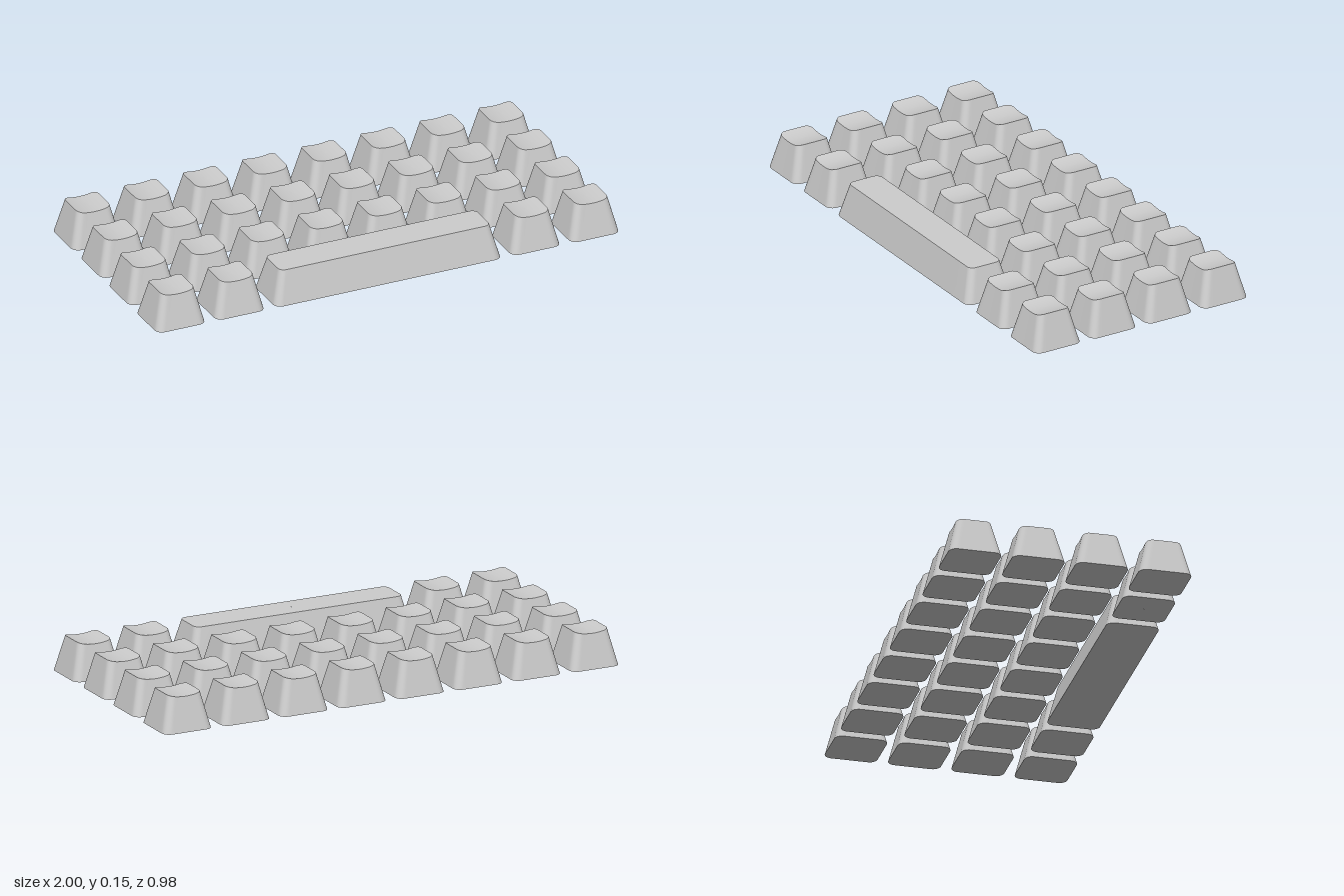
import * as THREE from 'three';
import { mergeGeometries } from 'three/addons/utils/BufferGeometryUtils.js';

const PITCH = 0.2554, BASE = 0.212, INSET = 0.069;
const ARC = 6, EDGE = 10; // steps per rounded corner and per straight edge

// Rounded rectangle as [x, z] points
function outline(w, d, r) {
  const corners = [[1, 1], [-1, 1], [-1, -1], [1, -1]];
  const arcs = corners.map(([sx, sz], k) => Array.from({ length: ARC + 1 }, (_, i) => {
    const a = (k + i / ARC) * Math.PI / 2;
    return [sx * (w / 2 - r) + r * Math.cos(a), sz * (d / 2 - r) + r * Math.sin(a)];
  }));
  const pts = [];
  arcs.forEach((arc, k) => {
    pts.push(...arc);
    const a = arc[ARC], b = arcs[(k + 1) % 4][0];
    for (let i = 1; i < EDGE; i++) {
      const t = i / EDGE;
      pts.push([a[0] + (b[0] - a[0]) * t, a[1] + (b[1] - a[1]) * t]);
    }
  });
  return pts;
}

// Smooth skin through a list of closed rings of [x, y, z] points
function skin(rings) {
  const n = rings[0].length, index = [];
  for (let j = 0; j < rings.length - 1; j++) {
    for (let i = 0; i < n; i++) {
      const a = j * n + i, b = j * n + (i + 1) % n;
      index.push(a, a + n, b, b, a + n, b + n);
    }
  }
  const geo = new THREE.BufferGeometry();
  geo.setAttribute('position', new THREE.Float32BufferAttribute(rings.flat(2), 3));
  geo.setIndex(index);
  geo.computeVertexNormals();
  return geo;
}

// Tapered cap; topY(x) gives the height of the top surface
function keycap(width, topY) {
  const low = outline(width, BASE, 0.032);
  const high = outline(width - INSET, BASE - INSET, 0.026);
  const ring = (pts, s, y) => pts.map(([x, z]) => [x * s, y(x * s), z * s]);
  const floor = () => 0;
  const walls = skin([ring(low, 1, floor), ring(high, 1, topY)]);
  const top = skin([1, 0.8, 0.6, 0.4, 0.2, 0.001].map(s => ring(high, s, topY)));
  const bottom = skin([ring(low, 0.001, floor), ring(low, 1, floor)]);
  return mergeGeometries([walls, top, bottom]);
}

export function createModel() {
  const model = new THREE.Group();
  model.name = 'keycapSet';
  const material = new THREE.MeshStandardMaterial({ color: 0xcccccc });

  // Single caps have a shallow dish across x, the space bar is level
  const single = keycap(BASE, x => 0.137 + 0.01 * (x / 0.0715) ** 2);
  const long = keycap(3 * PITCH + BASE, () => 0.139);

  const add = (geo, name, x, z) => {
    const mesh = new THREE.Mesh(geo, material);
    mesh.name = name;
    mesh.position.set(x, 0, z);
    model.add(mesh);
  };

  for (let row = 0; row < 4; row++) {
    for (let col = 0; col < 8; col++) {
      if (row === 3 && col > 1 && col < 6) continue; // space bar sits here
      add(single, `keycapRow${row + 1}Column${col + 1}`, (col - 3.5) * PITCH, (row - 1.5) * PITCH);
    }
  }
  add(long, 'spaceBar', 0, 1.5 * PITCH);
  return model;
}
